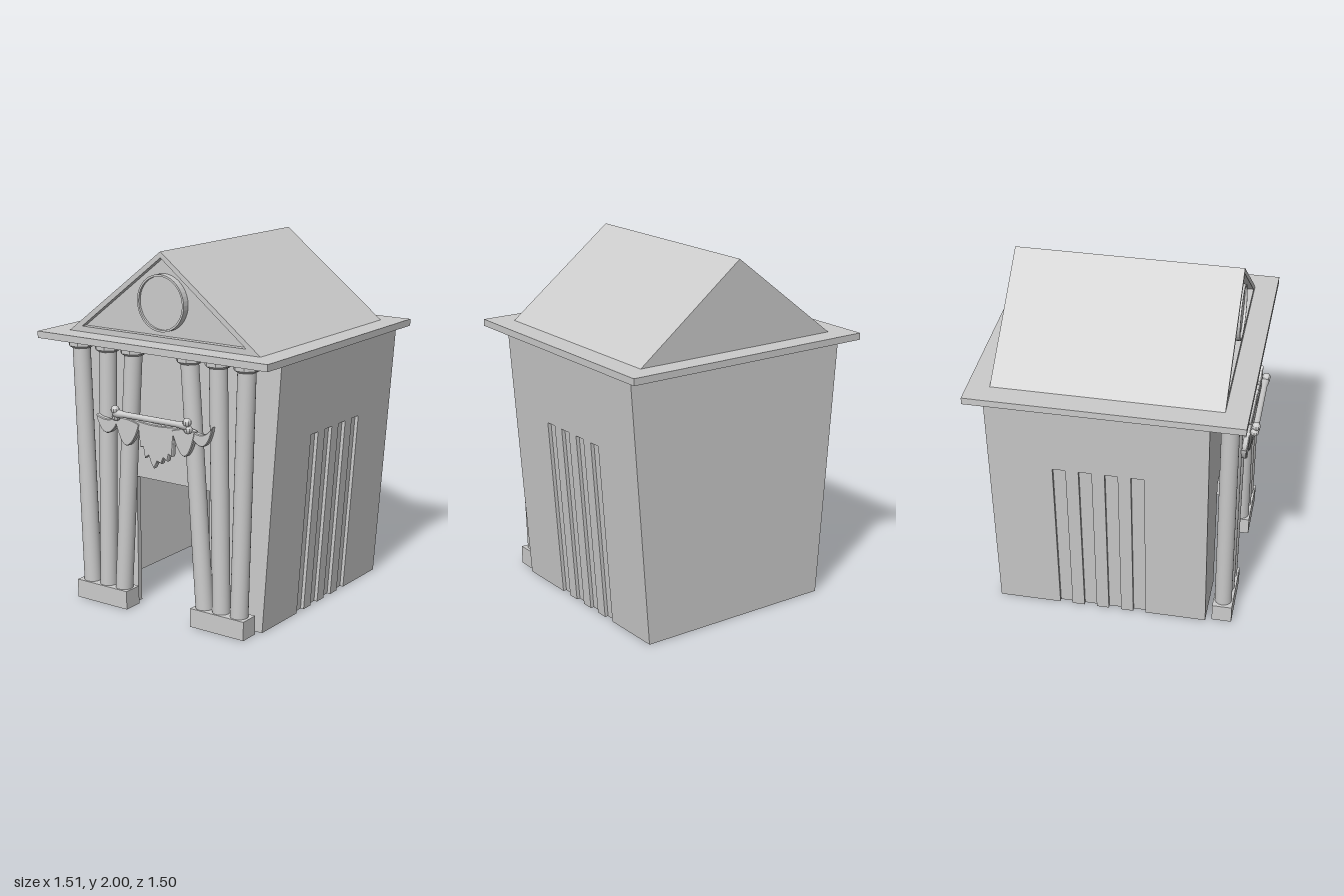
import * as THREE from 'three';

const V2 = (p) => new THREE.Vector2(p[0], p[1]);
const mat = (flat = true) =>
  new THREE.MeshStandardMaterial({ color: 0xcccccc, flatShading: flat });

function mesh(name, geo, parent, flat = true) {
  const m = new THREE.Mesh(geo, mat(flat));
  m.name = name;
  parent.add(m);
  return m;
}

// Box given by its minimum and maximum corners
function box(name, a, b, parent) {
  const m = mesh(name, new THREE.BoxGeometry(b[0] - a[0], b[1] - a[1], b[2] - a[2]), parent);
  m.position.set((a[0] + b[0]) / 2, (a[1] + b[1]) / 2, (a[2] + b[2]) / 2);
  return m;
}

// Straight-sided outline (with optional holes) extruded from z0 to z1
function slab(points, z0, z1, holes = []) {
  const shape = new THREE.Shape(points.map(V2));
  holes.forEach((h) => shape.holes.push(new THREE.Path(h.map(V2))));
  const g = new THREE.ExtrudeGeometry(shape, { depth: z1 - z0, bevelEnabled: false });
  return g.translate(0, 0, z0);
}

// Building dimensions: walls lean outwards towards the top
const CX = 0.018, WALL_TOP = 1.465, FRONT = 0.535, BACK = -0.66;
const halfWidth = (y) => 0.583 + (0.109 * y) / WALL_TOP;

// Moves a side panel outwards by the lean of the wall
function lean(geo, side) {
  const p = geo.attributes.position;
  for (let i = 0; i < p.count; i++) p.setX(i, p.getX(i) + CX + side * halfWidth(p.getY(i)));
  geo.computeVertexNormals();
  return geo;
}

function buildWalls(root) {
  const walls = new THREE.Group();
  walls.name = 'walls';
  root.add(walls);
  const xl = (y) => CX - halfWidth(y), xr = (y) => CX + halfWidth(y);

  // Front wall with doorway, plain back wall
  const door = [[0.26, 0], [0.26, 0.73], [-0.23, 0.73], [-0.23, 0]];
  const top = [[xr(WALL_TOP), WALL_TOP], [xl(WALL_TOP), WALL_TOP]];
  mesh('frontWall', slab([[xl(0), 0], ...door.slice().reverse(), [xr(0), 0], ...top],
    FRONT - 0.03, FRONT), walls);
  mesh('backWall', slab([[xl(0), 0], [xr(0), 0], ...top], BACK, BACK + 0.03), walls);

  // Side walls: slotted outer skin with a plain panel behind the slots
  const z0 = -FRONT + 0.03, z1 = -BACK - 0.03;
  const outline = [[z0, 0]];
  for (let i = 0; i < 4; i++) {
    const s = -0.19 + i * 0.1425;
    outline.push([s, 0], [s, 1.03], [s + 0.072, 1.03], [s + 0.072, 0]);
  }
  outline.push([z1, 0], [z1, WALL_TOP], [z0, WALL_TOP]);
  const plain = [[z0, 0], [z1, 0], [z1, WALL_TOP], [z0, WALL_TOP]];
  for (const side of [1, -1]) {
    const name = side > 0 ? 'left' : 'right';
    const range = (a, b) => (side > 0 ? [-b, -a] : [a, b]);
    const skin = slab(outline, ...range(0, 0.02)).rotateY(Math.PI / 2);
    const inner = slab(plain, ...range(0.02, 0.032)).rotateY(Math.PI / 2);
    mesh(name + 'SlottedWall', lean(skin, side), walls);
    mesh(name + 'InnerWall', lean(inner, side), walls);
  }
  box('ceiling', [-0.63, 1.445, BACK + 0.02], [0.665, 1.48, FRONT - 0.02], walls);
}

function buildRoof(root) {
  const roof = new THREE.Group();
  roof.name = 'roof';
  root.add(roof);
  box('eavesSlab', [-0.753, 1.479, -0.75], [0.753, 1.517, 0.73], roof);
  const tri = [[-0.63, 1.515], [0.63, 1.515], [0, 2]];
  mesh('gableBody', slab(tri, -0.63, 0.57), roof);
  mesh('pedimentFrame', slab(tri, 0.57, 0.605,
    [[[-0.54, 1.548], [0, 1.967], [0.54, 1.548]]]), roof);

  // Round medallion with a raised rim
  const profile = [[0, 0.028], [0.142, 0.028], [0.142, 0.042], [0.153, 0.042], [0.153, 0]];
  const g = new THREE.LatheGeometry(profile.map(V2).reverse(), 40).rotateX(Math.PI / 2);
  const m = mesh('medallion', g, roof);
  m.material.side = THREE.DoubleSide;
  m.position.set(0, 1.728, 0.568);
}

function buildColumns(root) {
  const Z = 0.625;
  // Each entry: bottom x, top x
  const columns = [[-0.485, -0.53], [-0.37, -0.345], [-0.26, -0.17],
    [0.29, 0.2], [0.4, 0.383], [0.515, 0.56]];
  columns.forEach(([xb, xt]) => {
    const g = new THREE.Group();
    g.name = 'column';
    root.add(g);
    const y0 = 0.1, y1 = 1.45, dx = xt - xb;
    const shaft = mesh('shaft', new THREE.CylinderGeometry(0.049, 0.049,
      Math.hypot(dx, y1 - y0), 24, 1), g, false);
    shaft.position.set((xb + xt) / 2, (y0 + y1) / 2, Z);
    shaft.rotation.z = -Math.atan2(dx, y1 - y0);
    // Octagonal capital
    const cap = [[0, 1.437], [0.054, 1.437], [0.073, 1.45], [0.073, 1.479], [0, 1.479]];
    const c = mesh('capital',
      new THREE.LatheGeometry(cap.map(V2), 8).rotateY(Math.PI / 8), g);
    c.position.set(xt, 0, Z);
  });
  box('rightColumnBase', [-0.55, 0, 0.57], [-0.2, 0.105, 0.682], root);
  box('leftColumnBase', [0.235, 0, 0.57], [0.58, 0.105, 0.682], root);
}

function buildBanner(root) {
  const banner = new THREE.Group();
  banner.name = 'banner';
  root.add(banner);
  const opts = { depth: 0.025, bevelEnabled: true, bevelThickness: 0.005,
    bevelSize: 0.004, bevelSegments: 1, curveSegments: 8 };
  const cloth = (name, shape, z) =>
    mesh(name, new THREE.ExtrudeGeometry(shape, opts).translate(0, 0, z), banner);

  // Hanging fold: top corners a and b, lowest point low, sag point on the upper edge
  function fold(name, a, low, b, sag, z) {
    const s = new THREE.Shape();
    const w = (b[0] - a[0]) * 0.22;
    s.moveTo(...a);
    s.bezierCurveTo(a[0] + 0.01, a[1] - 0.04, low[0] - w, low[1], low[0], low[1]);
    s.bezierCurveTo(low[0] + w, low[1], b[0] - 0.01, b[1] - 0.05, b[0], b[1]);
    s.quadraticCurveTo(sag[0], sag[1], a[0], a[1]);
    cloth(name, s, z);
  }
  fold('outerFold', [-0.372, 1.092], [-0.305, 1.005], [-0.225, 1.1], [-0.3, 1.055], 0.67);
  fold('outerFold', [0.25, 1.1], [0.325, 1.025], [0.392, 1.13], [0.345, 1.05], 0.67);
  fold('innerFold', [-0.243, 1.092], [-0.17, 0.955], [-0.085, 1.08], [-0.17, 1.11], 0.672);
  fold('innerFold', [0.14, 1.08], [0.215, 0.955], [0.282, 1.092], [0.215, 1.11], 0.672);

  // Ragged centre cloth
  const s = new THREE.Shape();
  s.moveTo(-0.14, 1.105);
  [[-0.085, 1.05], [-0.075, 0.96], [-0.055, 0.965], [-0.045, 0.905], [-0.02, 0.925],
    [-0.005, 0.885], [0.012, 0.858], [0.035, 0.9], [0.06, 0.89], [0.075, 0.925],
    [0.1, 0.91], [0.11, 0.95], [0.13, 0.94], [0.14, 1.05], [0.19, 1.105]]
    .forEach((p) => s.lineTo(...p));
  s.quadraticCurveTo(0.03, 1.07, -0.14, 1.105);
  cloth('raggedCloth', s, 0.668);

  // Bone rail: flared shaft with two knobs at each end
  const bone = new THREE.Group();
  bone.name = 'boneRail';
  bone.position.set(0.021, 1.13, 0.727);
  banner.add(bone);
  const profile = [[0, -0.24], [0.024, -0.24], [0.022, -0.21], [0.017, -0.18],
    [0.017, 0.18], [0.022, 0.21], [0.024, 0.24], [0, 0.24]];
  mesh('boneShaft', new THREE.LatheGeometry(profile.map(V2), 12).rotateZ(-Math.PI / 2),
    bone, false);
  for (const x of [-0.238, 0.238]) for (const y of [-0.02, 0.02]) {
    const k = mesh('boneKnob', new THREE.SphereGeometry(0.024, 10, 8), bone);
    k.position.set(x, y, y * 0.2);
  }
}

export function createModel() {
  const root = new THREE.Group();
  root.name = 'templeHut';
  buildWalls(root);
  buildRoof(root);
  buildColumns(root);
  buildBanner(root);
  return root;
}
